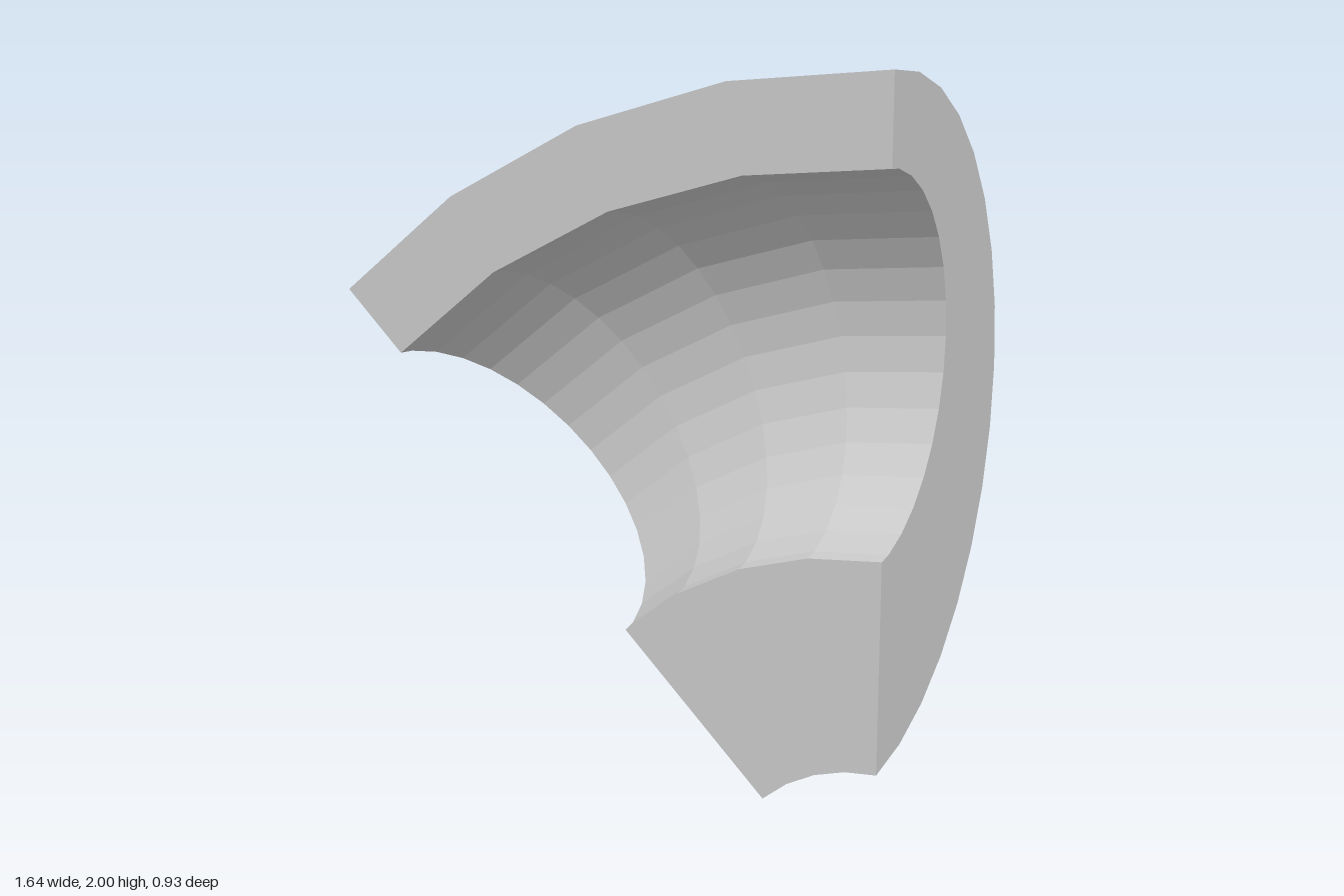
import * as THREE from 'three';

const BEND = Math.PI / 4;      // angle swept by the elbow
const STEP = Math.PI / 16;     // facet angle of both pipe walls
const FRONT = 0.465;           // z of the flat cut face

// Half-pipe section as (distance from bend axis, z), counter-clockwise
function sectionPoints() {
  const pts = [];
  // outer wall: half circle
  for (let i = 0; i <= 16; i++) {
    const a = i * STEP;
    pts.push(new THREE.Vector2(1.395 - 0.93 * Math.cos(a), FRONT - 0.93 * Math.sin(a)));
  }
  // bore: off-centre circle, trimmed by the cut face
  const c = 1.5725, r = 0.515;
  pts.push(new THREE.Vector2(c + 0.51, FRONT));
  for (let i = 1; i <= 15; i++) {
    const a = i * STEP;
    pts.push(new THREE.Vector2(c + r * Math.cos(a), 0.515 - r * Math.sin(a)));
  }
  pts.push(new THREE.Vector2(c - 0.51, FRONT));
  return pts;
}

export function createModel() {
  const group = new THREE.Group();
  group.name = 'halfPipeElbow';
  const material = new THREE.MeshStandardMaterial({ color: 0xcccccc, flatShading: true });
  const pts = sectionPoints();

  const add = (name, geometry) => {
    const mesh = new THREE.Mesh(geometry, material);
    mesh.name = name;
    mesh.position.set(0.82, -0.325, 0); // bend axis
    group.add(mesh);
  };

  // walls and flat cut faces, swept around the bend axis
  const walls = new THREE.LatheGeometry([...pts, pts[0].clone()], 4, Math.PI, BEND);
  walls.rotateX(Math.PI / 2);
  add('elbowWalls', walls);

  // flat ends: section plane turned so that radius points up and z stays z
  const toSection = new THREE.Matrix4().set(0, 0, 1, 0, 1, 0, 0, 0, 0, 1, 0, 0, 0, 0, 0, 1);
  const makeCap = () => new THREE.ShapeGeometry(new THREE.Shape(pts)).applyMatrix4(toSection);
  add('straightEnd', makeCap());

  const slanted = makeCap().rotateZ(BEND);
  slanted.index.array.reverse(); // faces the other way
  slanted.computeVertexNormals();
  add('slantedEnd', slanted);

  return group;
}
